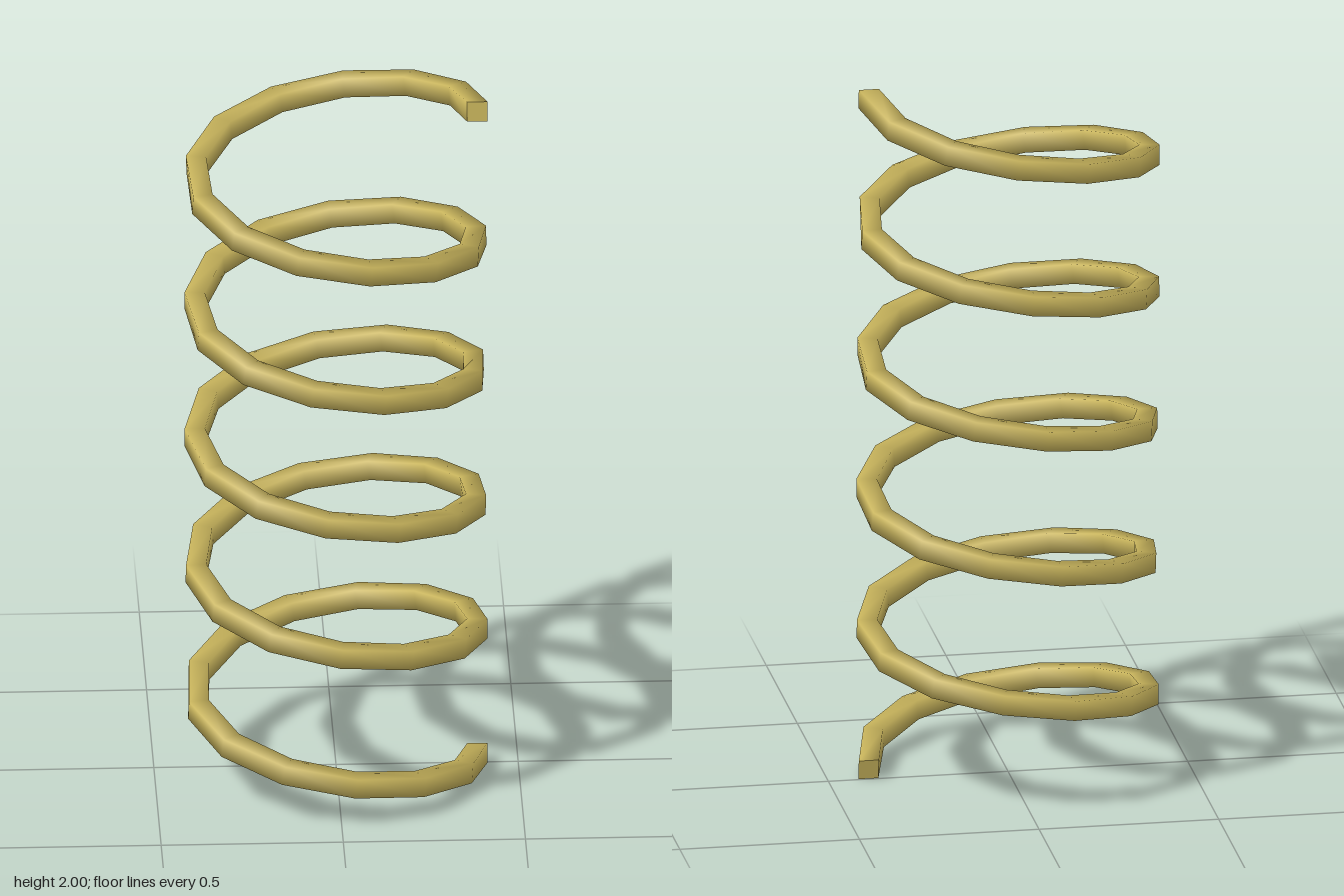
import * as THREE from 'three';

const TURNS = 5, STEPS = 64;
const COIL_RADIUS = 0.388, HALF = 0.028; // half the width of the square wire
const Y0 = 0.0277, RISE = 2 - 2 * Y0;
const SLOPE = Math.atan2(RISE, TURNS * 2 * Math.PI * COIL_RADIUS);
const CORNERS = [[1, 1], [-1, 1], [-1, -1], [1, -1]];

// Four corners of the square wire, square to its path, at step i
function section(i) {
  const a = (i / STEPS) * TURNS * Math.PI * 2, c = Math.cos(a), s = Math.sin(a);
  const outward = new THREE.Vector3(c, 0, s);
  const upward = new THREE.Vector3(s * Math.sin(SLOPE), Math.cos(SLOPE), -c * Math.sin(SLOPE));
  const centre = new THREE.Vector3(COIL_RADIUS * c, Y0 + (RISE * i) / STEPS, COIL_RADIUS * s);
  return CORNERS.map(([u, v]) =>
    centre.clone().addScaledVector(outward, u * HALF).addScaledVector(upward, v * HALF));
}

function buildGeometry(points, index) {
  const geometry = new THREE.BufferGeometry().setFromPoints(points);
  geometry.setIndex(index);
  geometry.computeVertexNormals();
  return geometry;
}

// Sections joined into one smooth-shaded wire
function coilGeometry() {
  const points = [], index = [];
  for (let i = 0; i <= STEPS; i++) {
    points.push(...section(i));
    if (i === STEPS) break;
    for (let j = 0; j < 4; j++) {
      const a = i * 4 + j, b = i * 4 + ((j + 1) % 4);
      index.push(a, b, b + 4, a, b + 4, a + 4);
    }
  }
  return buildGeometry(points, index);
}

export function createModel() {
  const group = new THREE.Group();
  group.name = 'coilSpring';
  const brass = new THREE.MeshStandardMaterial({ color: 0xc8b45c });
  brass.name = 'brass';

  const add = (name, geometry) => {
    const mesh = new THREE.Mesh(geometry, brass);
    mesh.name = name;
    group.add(mesh);
  };

  // Coiled wire and its two flat cut ends
  add('coil', coilGeometry());
  add('bottomEnd', buildGeometry(section(0), [0, 2, 1, 0, 3, 2]));
  add('topEnd', buildGeometry(section(STEPS), [0, 1, 2, 0, 2, 3]));
  return group;
}
